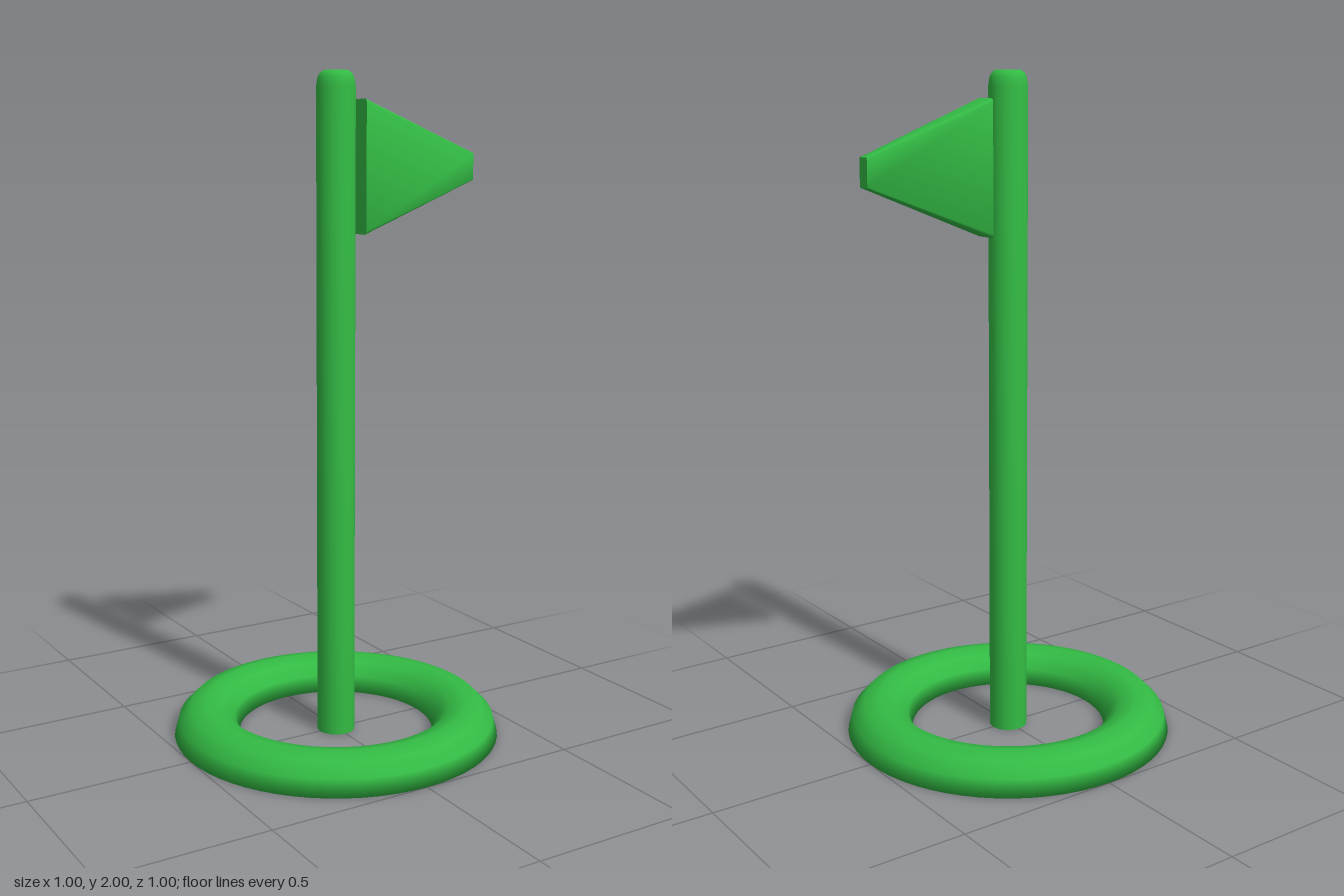
import * as THREE from 'three';
import { toCreasedNormals } from 'three/addons/utils/BufferGeometryUtils.js';

const green = new THREE.MeshStandardMaterial({ color: 0x33bb44 });

function addPart(group, name, geometry) {
  const mesh = new THREE.Mesh(geometry, green);
  mesh.name = name;
  group.add(mesh);
}

const lathe = (points, segments) =>
  new THREE.LatheGeometry(points.map(([x, y]) => new THREE.Vector2(x, y)), segments);

// Half-round ring with a flat underside
function baseRing() {
  const profile = [[0.4, 0]];
  for (let i = 0; i <= 6; i++) {
    const a = (i / 6) * Math.PI;
    profile.push([0.4 + 0.1 * Math.cos(a), 0.1 * Math.sin(a)]);
  }
  profile.push([0.4, 0]);
  return lathe(profile, 64);
}

// Slim post with a softly rounded top
function pole() {
  const profile = [
    [0, 0], [0.058, 0], [0.058, 0.002], [0.058, 1.955],
    [0.054, 1.98], [0.048, 1.992], [0.037, 2], [0, 2],
  ];
  return toCreasedNormals(lathe(profile, 16), 0.9);
}

// Tapered pennant: rounded rectangle section swept along x and narrowed to the tip
function pennant() {
  const h = 0.196, w = 0.04, r = 0.01;
  const section = new THREE.Shape();
  section.absarc(w - r, h - r, r, 0, Math.PI / 2);
  section.absarc(r - w, h - r, r, Math.PI / 2, Math.PI);
  section.absarc(r - w, r - h, r, Math.PI, Math.PI * 1.5);
  section.absarc(w - r, r - h, r, Math.PI * 1.5, Math.PI * 2);
  const geometry = new THREE.ExtrudeGeometry(section, { depth: 0.4, bevelEnabled: false, curveSegments: 4 });
  geometry.rotateY(Math.PI / 2);
  const p = geometry.attributes.position;
  for (let i = 0; i < p.count; i++) {
    const t = p.getX(i) / 0.4;
    p.setY(i, p.getY(i) * (1 - 0.79 * t));
    p.setZ(i, p.getZ(i) * (1 - 0.5 * t));
  }
  geometry.translate(0.08, 1.725, 0);
  return toCreasedNormals(geometry, 0.7);
}

export function createModel() {
  const model = new THREE.Group();
  model.name = 'flagPost';
  addPart(model, 'baseRing', baseRing());
  addPart(model, 'pole', pole());
  addPart(model, 'pennant', pennant());
  return model;
}
